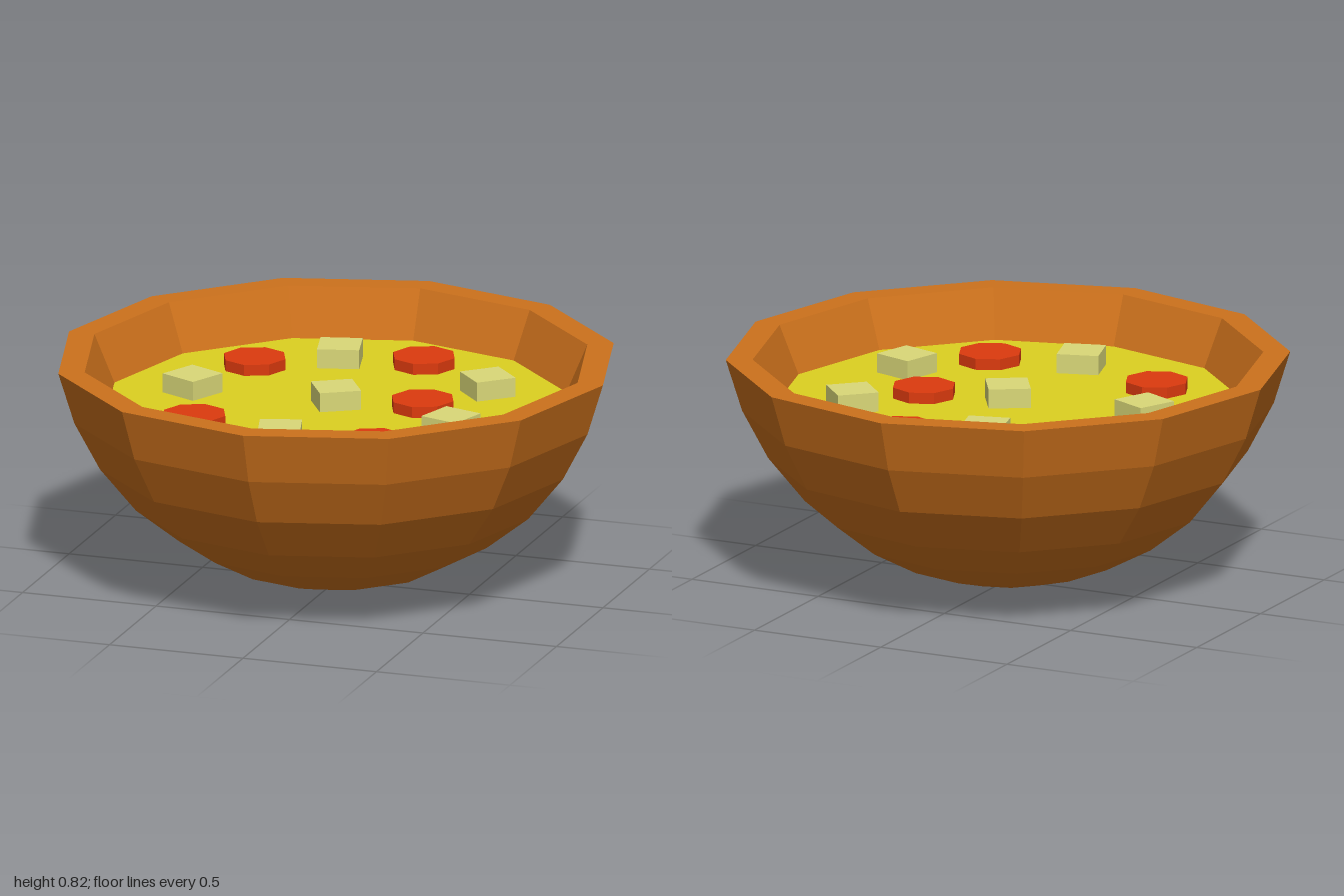
import * as THREE from 'three';

const SOUP_Y = 0.65;

function flat(color) {
  return new THREE.MeshStandardMaterial({ color, flatShading: true });
}

export function createModel() {
  const group = new THREE.Group();
  const add = (name, geometry, material, x = 0, y = 0, z = 0, turn = 0) => {
    const mesh = new THREE.Mesh(geometry, material);
    mesh.name = name;
    mesh.position.set(x, y, z);
    mesh.rotation.y = turn;
    group.add(mesh);
  };

  // Twelve-sided bowl: outer wall upwards, flat rim, inner wall back down
  const profile = [
    [0, 0], [0.2, 0.025], [0.39, 0.083], [0.565, 0.178], [0.72, 0.3],
    [0.85, 0.46], [0.942, 0.635], [1, 0.822],
    [0.905, 0.822], [0.83, SOUP_Y], [0.75, 0.48], [0.62, 0.33], [0.45, 0.2], [0.22, 0.1], [0, 0.08],
  ].map(([r, y]) => new THREE.Vector2(r, y));
  add('bowl', new THREE.LatheGeometry(profile, 12), flat(0xcc711c));

  // Soup surface
  const soup = new THREE.CircleGeometry(0.83, 12).rotateX(-Math.PI / 2);
  add('soup', soup, flat(0xdcd020), 0, SOUP_Y, 0);

  // Octagonal carrot slices: x, z
  const slice = new THREE.CylinderGeometry(0.115, 0.115, 0.08, 8);
  const carrot = flat(0xdc3a0e);
  [[0.137, -0.552], [-0.424, -0.343], [0.306, -0.054], [-0.397, 0.381], [0.298, 0.45]]
    .forEach(([x, z], i) => add(`carrotSlice${i + 1}`, slice, carrot, x, SOUP_Y, z));

  // Diced cubes half sunk in the soup: x, z, turn
  const cube = new THREE.BoxGeometry(0.15, 0.14, 0.15);
  const dice = flat(0xdad878);
  [
    [-0.157, -0.492, 0.25], [0.461, -0.308, 0.75], [0, 0, 0.55],
    [0.499, 0.196, -0.3], [-0.03, 0.517, 0.28], [-0.53, 0.02, -0.44],
  ].forEach(([x, z, turn], i) => add(`dicedCube${i + 1}`, cube, dice, x, SOUP_Y, z, turn));

  return group;
}
